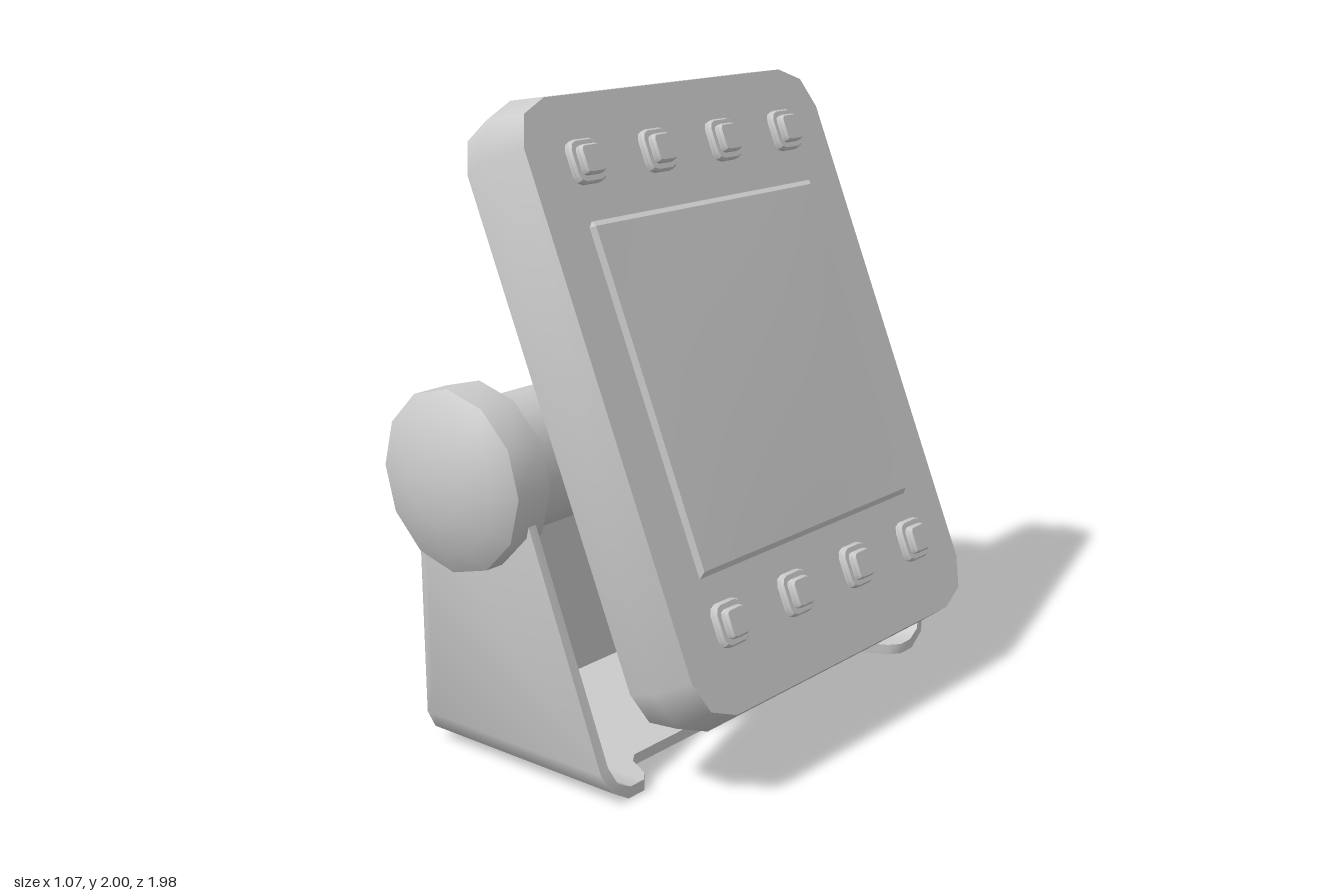
import * as THREE from 'three';
import { toCreasedNormals } from 'three/addons/utils/BufferGeometryUtils.js';

const grey = new THREE.MeshStandardMaterial({ color: 0xcccccc });

function add(parent, name, geometry, crease = 0.9) {
  const mesh = new THREE.Mesh(toCreasedNormals(geometry, crease), grey);
  mesh.name = name;
  parent.add(mesh);
  return mesh;
}

// Rectangle with two-segment rounded corners
function roundedRect(hw, hh, r) {
  const pts = [];
  [[1, 1], [-1, 1], [-1, -1], [1, -1]].forEach(([sx, sy], corner) => {
    for (let i = 0; i < 3; i++) {
      const a = (corner + i / 2) * Math.PI / 2;
      pts.push(new THREE.Vector2(sx * (hw - r) + r * Math.cos(a), sy * (hh - r) + r * Math.sin(a)));
    }
  });
  return new THREE.Shape(pts);
}

// Sheet-metal cradle: sides, rounded folds and a floor with a cut-out front edge
function cradleGeometry(back, outline) {
  const mirror = outline.slice().reverse().map(([z, y, iz, iy, f]) => [-z, y, -iz, iy, f]);
  const path = [...outline, ...mirror];
  const pos = [];
  const quad = (a, b, c, d) => pos.push(...a, ...b, ...c, ...a, ...c, ...d);
  const section = ([z, y, iz, iy, front]) => ({
    ob: [back, y, z], of: [front, y, z], ib: [back, iy, iz], if: [front, iy, iz],
  });
  for (let i = 0; i < path.length - 1; i++) {
    const p = section(path[i]), q = section(path[i + 1]);
    quad(p.ob, q.ob, q.of, p.of);
    quad(p.ib, p.if, q.if, q.ib);
    quad(p.of, q.of, q.if, p.if);
  }
  const g = new THREE.BufferGeometry();
  g.setAttribute('position', new THREE.Float32BufferAttribute(pos, 3));
  g.computeVertexNormals();
  return g;
}

export function createModel() {
  const model = new THREE.Group();
  model.name = 'displayOnStand';

  // Stand: outer z, outer y, inner z, inner y, front x
  const stand = new THREE.Group();
  stand.name = 'stand';
  model.add(stand);
  const outline = [
    [0.845, 0.92, 0.815, 0.92, -0.05], [0.845, 0.78, 0.815, 0.78, 0],
    [0.845, 0.1, 0.815, 0.115, 0.26], [0.815, 0.04, 0.79, 0.06, 0.275],
    [0.75, 0, 0.74, 0.035, 0.28], [0.68, 0, 0.68, 0.035, 0.28],
    [0.645, 0, 0.645, 0.035, 0.25], [0.605, 0, 0.605, 0.035, 0.17],
    [0.57, 0, 0.57, 0.035, 0.145],
  ];
  add(stand, 'cradle', cradleGeometry(-0.47, outline), 0.8);

  const half = outline.slice(0, 5).map(([z, y]) => new THREE.Vector2(z, y));
  const other = half.slice().reverse().map((p) => new THREE.Vector2(-p.x, p.y));
  const wall = new THREE.ExtrudeGeometry(new THREE.Shape([...half, ...other]),
    { depth: 0.03, bevelEnabled: false });
  wall.rotateY(Math.PI / 2).translate(-0.47, 0, 0);
  add(stand, 'backWall', wall, 0.8);

  // Pivot rod with a domed knob at each end
  const pivot = new THREE.Group();
  pivot.name = 'pivot';
  pivot.position.set(-0.26, 0.905, 0);
  model.add(pivot);
  add(pivot, 'rod', new THREE.CylinderGeometry(0.213, 0.213, 1.58, 12).rotateX(Math.PI / 2));
  const profile = [[0, 0.78], [0.28, 0.78], [0.28, 0.91], [0.215, 0.95], [0.11, 0.98], [0, 0.99]]
    .map(([r, h]) => new THREE.Vector2(r, h));
  for (const side of [1, -1]) {
    const knob = new THREE.LatheGeometry(profile, 12).rotateX(side * Math.PI / 2);
    add(pivot, side > 0 ? 'frontKnob' : 'backKnob', knob);
  }

  // Tilted display unit, modelled facing local +z
  const display = new THREE.Group();
  display.name = 'display';
  display.position.set(0.058, 1.085, 0);
  display.rotation.set(0, Math.PI / 2, Math.atan2(0.384, 0.923), 'ZYX');
  model.add(display);
  const front = 0.127;
  const body = new THREE.ExtrudeGeometry(roundedRect(0.7, 0.935, 0.14), {
    depth: 0.002, bevelThickness: front - 0.001, bevelSize: 0.033, bevelSegments: 1,
  });
  add(display, 'housing', body.translate(0, 0, -0.001), 1.05);

  // Slightly domed screen with a sloped border
  const sw = 0.54, sh = 0.542, n = 16;
  const screen = new THREE.PlaneGeometry(2, 2, n, n);
  const p = screen.attributes.position;
  const spread = (t) => {
    const a = Math.abs(t), inner = 1 - 2 / n;
    return Math.sign(t) * (a > inner + 0.01 ? 1 : a / inner * 0.97);
  };
  for (let i = 0; i < p.count; i++) {
    const u = spread(p.getX(i)), v = spread(p.getY(i));
    const edge = Math.max(Math.abs(u), Math.abs(v)) > 0.99;
    const h = edge ? 0 : 0.012 + 0.008 * (1 - u * u) * (1 - v * v);
    p.setXYZ(i, u * sw, v * sh + 0.012, front + h);
  }
  screen.computeVertexNormals();
  add(display, 'screen', screen, 0.5);

  // Two rows of four stepped buttons
  const block = (hw, hh, r, z, height) => new THREE.ExtrudeGeometry(roundedRect(hw - 0.006, hh - 0.006, r), {
    depth: height - 0.008, bevelThickness: 0.008, bevelSize: 0.006, bevelSegments: 1,
  }).translate(0, 0, z);
  for (const y of [0.73, -0.68]) {
    for (const x of [-0.48, -0.16, 0.16, 0.48]) {
      const button = new THREE.Group();
      button.name = 'button';
      button.position.set(x, y, front);
      add(button, 'buttonBase', block(0.063, 0.067, 0.025, 0, 0.022), 0.6);
      add(button, 'buttonCap', block(0.043, 0.045, 0.012, 0.015, 0.031), 0.6);
      display.add(button);
    }
  }
  return model;
}
